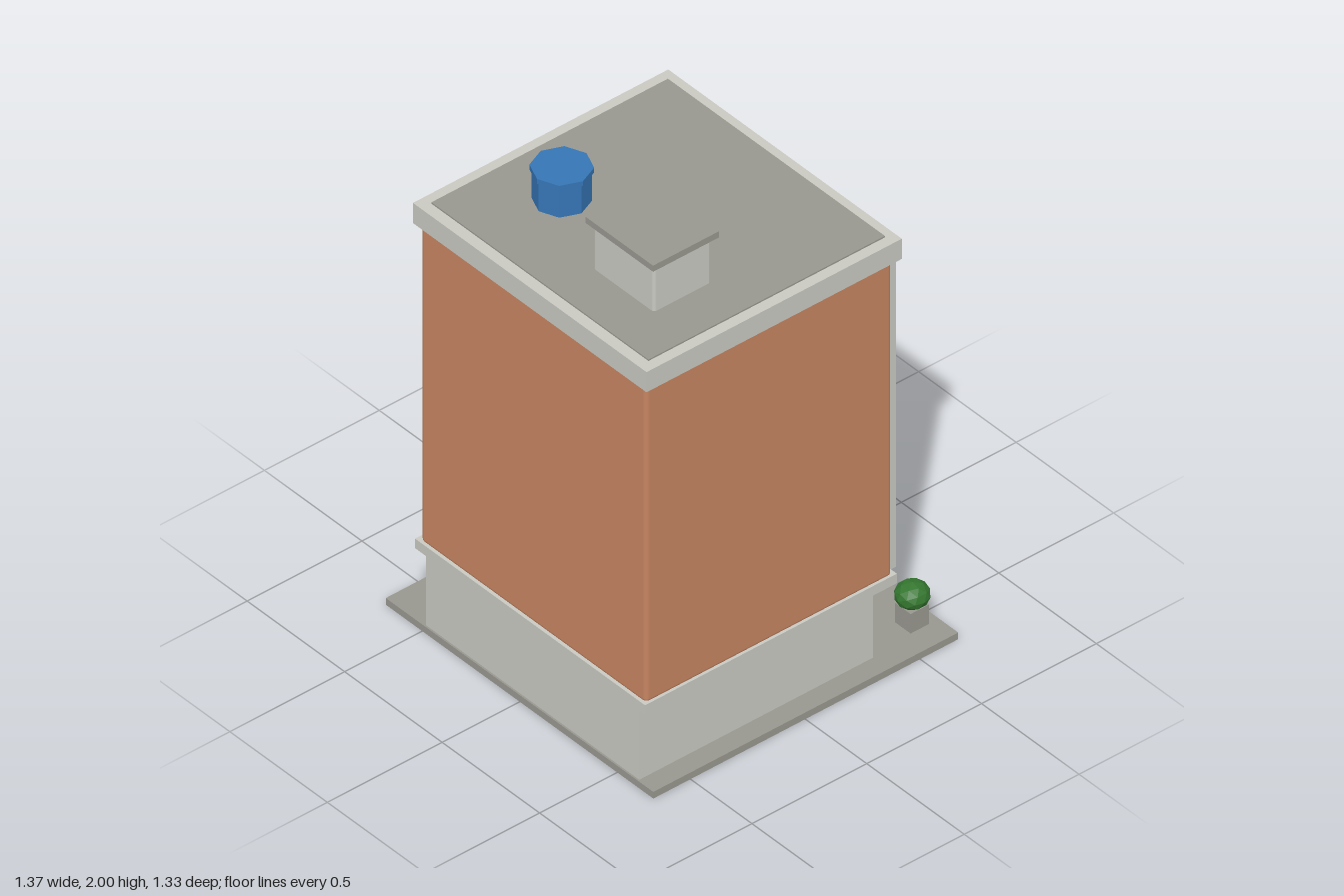
import * as THREE from 'three';
import { RoundedBoxGeometry } from 'three/addons/geometries/RoundedBoxGeometry.js';

export function createModel() {
  const model = new THREE.Group();
  model.name = 'apartmentBlock';

  const paint = (name, color, flatShading = false) => {
    const m = new THREE.MeshStandardMaterial({ color, flatShading });
    m.name = name;
    return m;
  };
  const brick = paint('brick', 0xc68461);
  const pale = paint('paleConcrete', 0xc9c9c2);
  const grey = paint('greyConcrete', 0x98978f);
  const glass = paint('windowBlue', 0x4a75ab);
  const tankBlue = paint('tankBlue', 0x3575b5, true);
  const red = paint('red', 0xc84547);
  const yellow = paint('yellow', 0xc9a02c);
  const green = paint('leafGreen', 0x34762f, true);
  const dark = paint('darkMetal', 0x45474a);

  const add = (name, geometry, material, x = 0, y = 0, z = 0) => {
    const mesh = new THREE.Mesh(geometry, material);
    mesh.name = name;
    mesh.position.set(x, y, z);
    model.add(mesh);
    return mesh;
  };
  // Box given by its limits on each axis; a radius rounds the edges
  const box = (name, material, [x0, x1], [y0, y1], [z0, z1], radius = 0) => {
    const s = [x1 - x0, y1 - y0, z1 - z0];
    const g = radius ? new RoundedBoxGeometry(...s, 2, radius) : new THREE.BoxGeometry(...s);
    return add(name, g, material, (x0 + x1) / 2, (y0 + y1) / 2, (z0 + z1) / 2);
  };

  // Main masses
  box('pavement', grey, [-0.687, 0.685], [0, 0.028], [-0.666, 0.662]);
  box('groundFloor', pale, [-0.49, 0.605], [0.028, 0.33], [-0.363, 0.655]);
  box('ledge', pale, [-0.535, 0.645], [0.33, 0.37], [-0.433, 0.664]);
  box('brickBody', brick, [-0.521, 0.635], [0.36, 1.71], [-0.422, 0.652], 0.018);
  box('parapet', pale, [-0.543, 0.655], [1.695, 1.78], [-0.446, 0.666]);
  box('roofDeck', grey, [-0.5, 0.613], [1.77, 1.786], [-0.408, 0.622]);

  // Stair tower strip with its pairs of small windows
  box('stairStrip', pale, [0.352, 0.6], [0.355, 1.695], [-0.468, -0.41]);
  for (let row = 0; row < 10; row++) {
    const y = 0.372 + row * 0.1345;
    for (const x of [0.385, 0.5]) {
      box('stairWindow', grey, [x, x + 0.068], [y, y + 0.075], [-0.48, -0.46]);
    }
  }

  // Five storeys of windows on the back and the right side, with floor bands
  const storey = 0.269;
  for (let f = 0; f < 5; f++) {
    const y = [0.425 + f * storey, 0.57 + f * storey];
    for (const x of [-0.413, -0.148, 0.118]) {
      box('backWindow', glass, [x, x + 0.16], y, [-0.47, -0.41]);
    }
    for (const z of [-0.271, 0.031, 0.328]) {
      box('sideWindow', glass, [-0.567, -0.51], y, [z, z + 0.157]);
    }
    if (f > 0) {
      const b = 0.362 + f * storey;
      box('floorBand', pale, [-0.43, 0.352], [b, b + 0.024], [-0.445, -0.41]);
    }
    // Air conditioners, staggered from floor to floor
    const ac = [0.366 + f * storey, 0.416 + f * storey];
    for (const x of f % 2 ? [-0.207] : [-0.467, 0.05]) {
      box('airConditioner', grey, [x, x + 0.097], ac, [-0.482, -0.41]);
    }
    const sideZ = { 0: -0.115, 2: -0.115, 3: 0.234 }[f];
    if (sideZ !== undefined) {
      box('airConditioner', grey, [-0.581, -0.51], ac, [sideZ, sideZ + 0.097]);
    }
  }

  // Ground floor glazing
  for (const z of [-0.18, 0.205]) {
    box('sideShopWindow', glass, [-0.537, -0.485], [0.145, 0.29], [z, z + 0.23]);
  }
  for (const x of [-0.435, 0.085]) {
    box('backShopWindow', glass, [x, x + 0.2], [0.18, 0.33], [-0.41, -0.388]);
  }
  box('entranceGlass', glass, [-0.17, 0.03], [0.145, 0.33], [-0.418, -0.395]);

  // Entrance canopy on two posts
  box('canopySlab', grey, [-0.42, 0.243], [0.325, 0.36], [-0.648, -0.42], 0.012);
  box('canopyTop', red, [-0.428, 0.25], [0.36, 0.38], [-0.66, -0.433]);
  for (const x of [-0.37, 0.2]) {
    add('canopyPost', new THREE.CylinderGeometry(0.011, 0.011, 0.31, 10), grey, x, 0.18, -0.625);
  }

  // Vertical blade sign with bands and mounting bars
  box('signPanel', red, [-0.502, -0.458], [0.64, 1.54], [-0.58, -0.445], 0.01);
  for (let i = 0; i < 4; i++) {
    const y = 0.74 + i * 0.189;
    box('signBand', yellow, [-0.507, -0.453], [y, y + 0.058], [-0.587, -0.44]);
  }
  box('signTopBar', dark, [-0.494, -0.467], [1.5, 1.625], [-0.568, -0.54]);
  box('signBottomBar', dark, [-0.494, -0.467], [0.555, 0.68], [-0.48, -0.45]);

  // Shrubs in planters
  for (const x of [-0.552, 0.547]) {
    box('planter', grey, [x - 0.04, x + 0.04], [0.028, 0.11], [-0.622, -0.542]);
    add('shrub', new THREE.IcosahedronGeometry(0.063, 1), green, x, 0.15, -0.583).scale.y = 0.8;
  }

  // Rooftop water tank and stair house
  add('waterTank', new THREE.CylinderGeometry(0.101, 0.101, 0.13, 8), tankBlue, -0.233, 1.845, 0.281);
  add('tankLid', new THREE.CylinderGeometry(0.108, 0.108, 0.02, 8), tankBlue, -0.233, 1.915, 0.281);
  box('roofHouse', pale, [0.118, 0.43], [1.775, 1.98], [0.192, 0.443], 0.012);
  box('roofHouseCap', grey, [0.1, 0.446], [1.974, 2], [0.172, 0.46]);

  return model;
}
